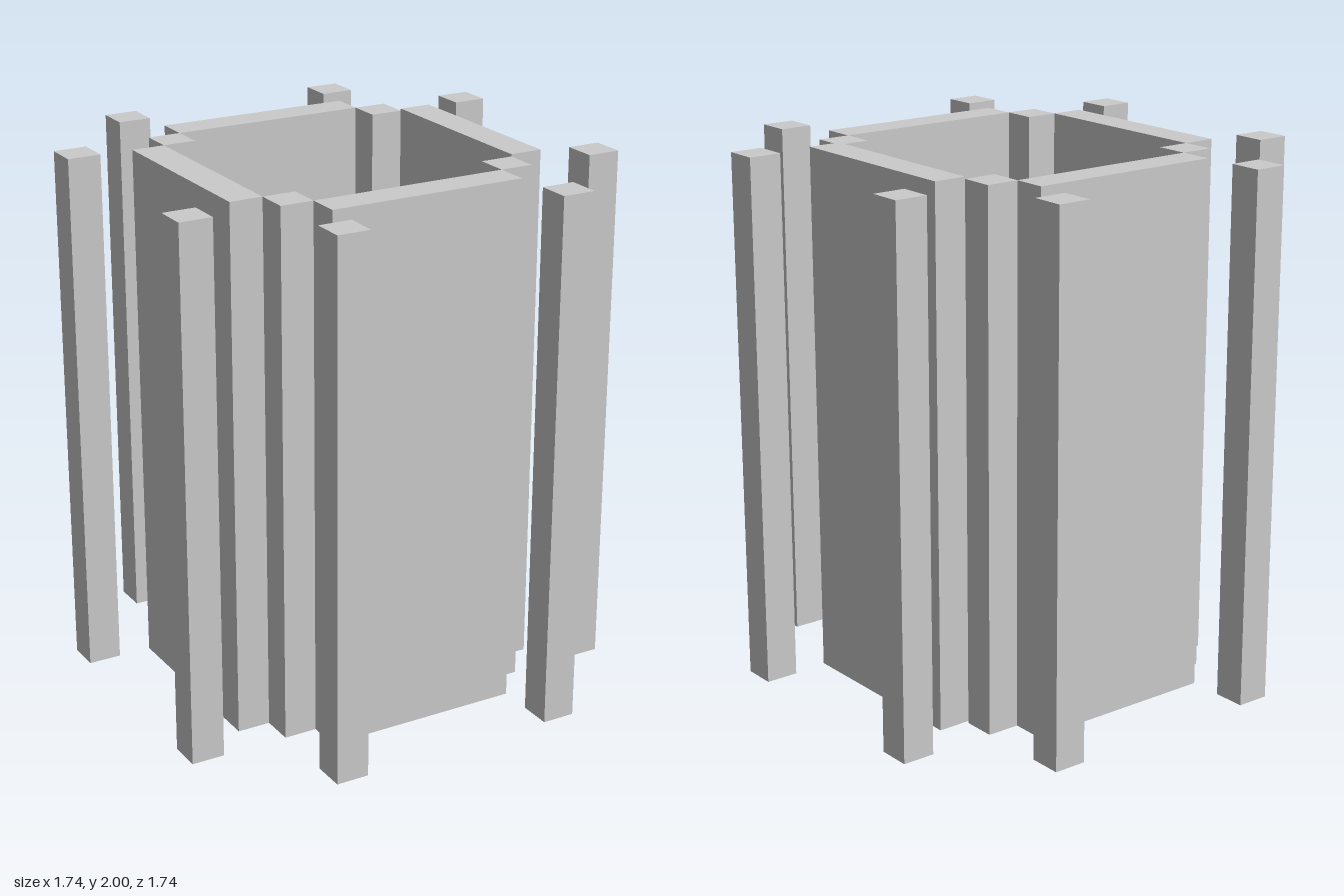
import * as THREE from 'three';

const U = 0.1245;      // grid unit: thickness of every post and wall
const H = 16 * U;      // height of every part
const LIFT = 2 - H;    // the left wall sits slightly higher

export function createModel() {
  const model = new THREE.Group();
  const material = new THREE.MeshStandardMaterial({ color: 0xcccccc, flatShading: true });

  // Upright block; sizes and centre are given in grid units
  function block(name, w, d, x, z, lift = 0) {
    const mesh = new THREE.Mesh(new THREE.BoxGeometry(w * U, H, d * U), material);
    mesh.name = name;
    mesh.position.set(x * U, H / 2 + lift, z * U);
    model.add(mesh);
  }

  // Four walls around the open core
  block('frontWall', 6, 1, 0, 4.5);
  block('backWall', 6, 1, 0, -4.5);
  block('leftWall', 1, 6, 4.5, 0, LIFT);
  block('rightWall', 1, 6, -4.5, 0);

  // Each corner: one post between the walls and two free-standing outer posts
  for (const sx of [1, -1]) {
    for (const sz of [1, -1]) {
      const corner = (sz > 0 ? 'front' : 'back') + (sx > 0 ? 'Left' : 'Right');
      block(corner + 'CornerPost', 1, 1, sx * 3.5, sz * 3.5);
      block(corner + 'OuterSidePost', 1, 1, sx * 6.5, sz * 3.5);
      block(corner + 'OuterEndPost', 1, 1, sx * 3.5, sz * 6.5);
    }
  }
  return model;
}
